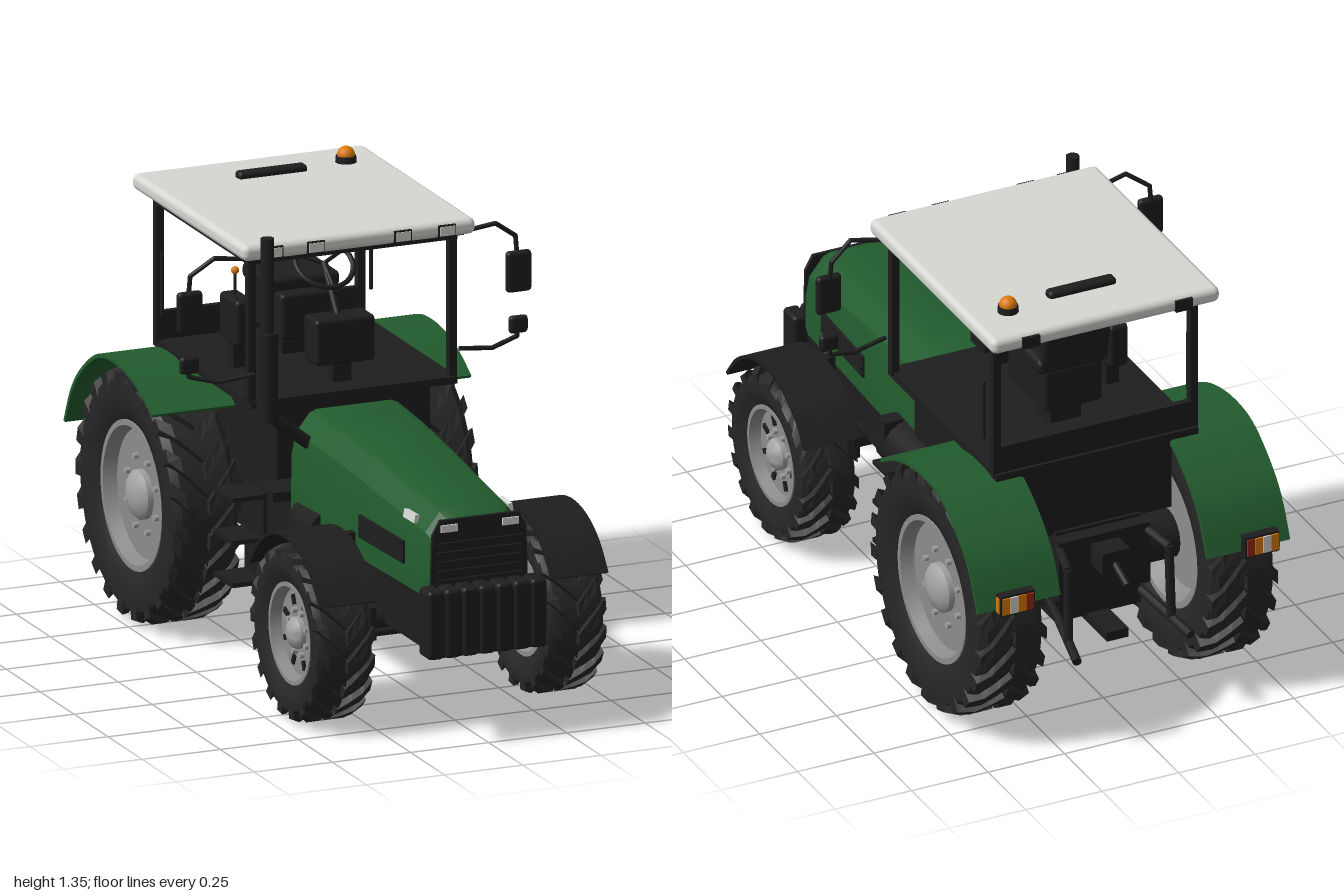
import * as THREE from 'three';
import { mergeGeometries, toCreasedNormals } from 'three/addons/utils/BufferGeometryUtils.js';
import { RoundedBoxGeometry } from 'three/addons/geometries/RoundedBoxGeometry.js';

const paint = (name, color) => Object.assign(new THREE.MeshStandardMaterial({ color }), { name });
const green = paint('green paint', 0x225c2e);
const black = paint('black trim', 0x1e1e1f);
const rubber = paint('tyre rubber', 0x262626);
const white = paint('roof white', 0xd6d6d2);
const grey = paint('rim grey', 0x8c8c8c);
const silver = paint('hub silver', 0xa2a2a2);
const orange = paint('orange lens', 0xdc7a08);
const red = paint('red lens', 0x9c2a14);
const V = (x, y, z) => new THREE.Vector3(x, y, z);

export function createModel() {
  const model = new THREE.Group();
  model.name = 'tractor';
  const add = (name, mat, geo, pos = [0, 0, 0], rot = [0, 0, 0], parent = model) => {
    const m = new THREE.Mesh(geo, mat);
    m.name = name;
    m.position.set(...pos);
    m.rotation.set(...rot);
    parent.add(m);
    return m;
  };
  const box = (name, mat, size, pos, rot) => add(name, mat, new THREE.BoxGeometry(...size), pos, rot);
  const soft = (name, mat, size, pos, rot, r = 0.012) => add(name, mat, new RoundedBoxGeometry(...size, 2, r), pos, rot);
  // Straight round bars through a list of points
  const rods = (name, r, pts, mat = black) => {
    for (let i = 1; i < pts.length; i++) {
      const a = V(...pts[i - 1]), b = V(...pts[i]);
      const m = add(name, mat, new THREE.CylinderGeometry(r, r, a.distanceTo(b) + r * 0.5, 10));
      m.position.copy(a).lerp(b, 0.5);
      m.quaternion.setFromUnitVectors(V(0, 1, 0), b.sub(a).normalize());
    }
  };
  // Curved sheet following [z, y] points, thickened towards a centre
  const sheet = (pts, centre, width, k) => {
    const outer = new THREE.SplineCurve(pts.map(p => new THREE.Vector2(...p))).getPoints(28);
    const c = new THREE.Vector2(...centre);
    const inner = outer.map(p => p.clone().sub(c).multiplyScalar(k).add(c)).reverse();
    const g = new THREE.ExtrudeGeometry(new THREE.Shape([...outer, ...inner]), { depth: width, bevelEnabled: false });
    return toCreasedNormals(g.translate(0, 0, -width / 2).rotateY(-Math.PI / 2), 0.6);
  };

  // Tyre lugs: boxes bent around the tyre, swept into a chevron
  const tread = (R, h, n) => {
    const parts = [];
    for (let k = 0; k < n; k++) for (const s of [1, -1]) {
      const g = new THREE.BoxGeometry(1, 1, 1, 3, 1, 1), p = g.attributes.position;
      for (let i = 0; i < p.count; i++) {
        const u = s * p.getX(i) + 0.5;
        const r = (p.getY(i) > 0 ? R : R - 0.045) - (u > 0.9 ? 0.014 : 0);
        const a = (k + (s > 0 ? 0 : 0.5) + p.getZ(i) * 0.42 - u * 1.1) / n * Math.PI * 2;
        p.setXYZ(i, s * u * h, r * Math.cos(a), r * Math.sin(a));
      }
      parts.push(g.toNonIndexed());
    }
    const all = mergeGeometries(parts);
    all.computeVertexNormals();
    return all;
  };
  const lathe = (pts, n = 40) => toCreasedNormals(
    new THREE.LatheGeometry(pts.map(p => new THREE.Vector2(...p)), n).rotateZ(-Math.PI / 2), 0.6);

  const wheel = (name, s, R, rim, h, x, z, lugs, hub, bolts) => {
    const w = new THREE.Group();
    w.name = name;
    w.position.set(s * x, R, z);
    model.add(w);
    const b = R - 0.022;
    add('tyre', rubber, lathe([[rim, -h * 0.75], [rim + 0.03, -h * 0.92], [b * 0.86, -h], [b * 0.95, -h * 0.95], [b, -h * 0.75],
      [b, h * 0.75], [b * 0.95, h * 0.95], [b * 0.86, h], [rim + 0.03, h * 0.92], [rim, h * 0.75], [rim, -h * 0.75]]), [0, 0, 0], [0, 0, 0], w);
    add('tyreTread', rubber, tread(R, h * 0.99, lugs), [0, 0, 0], [0, 0, 0], w);
    // Dished rim, hub and bolts face outwards
    const d = new THREE.Group();
    d.name = 'rimAssembly';
    d.rotation.y = s > 0 ? 0 : Math.PI;
    w.add(d);
    add('rim', grey, lathe([[0, -h * 0.3], [rim * 0.8, -h * 0.3], [rim * 0.93, -h * 0.8], [rim + 0.004, -h * 0.8],
      [rim + 0.004, h * 0.82], [rim * 0.94, h * 0.82], [rim * 0.88, h * 0.45], [0, h * 0.45]]), [0, 0, 0], [0, 0, 0], d);
    add('hub', silver, lathe([[hub, h * 0.4], [hub, h * 0.62], [hub * 0.8, h * 0.76], [hub * 0.4, h * 0.86], [0, h * 0.88]], 24), [0, 0, 0], [0, 0, 0], d);
    for (let i = 0; i < 8; i++) {
      const a = (i + 0.5) * Math.PI / 4, at = q => [h * 0.48, q * Math.cos(a), q * Math.sin(a)];
      add('wheelBolt', silver, new THREE.CylinderGeometry(0.009, 0.009, 0.022, 8).rotateZ(Math.PI / 2), at(bolts), [0, 0, 0], d);
      if (rim < 0.2) add('rimSlot', black, new THREE.BoxGeometry(0.008, 0.03, 0.016), at(rim * 0.66), [a, 0, 0], d);
    }
  };

  for (const s of [1, -1]) {
    wheel('frontWheel', s, 0.265, 0.15, 0.092, 0.37, 0.557, 18, 0.048, 0.068);
    wheel('rearWheel', s, 0.383, 0.222, 0.108, 0.378, -0.557, 22, 0.075, 0.115);
    // Mudguards
    const arc = [0, 1, 2, 3, 4, 5, 6].map(i => Math.PI * (30 + i * 20) / 180).map(a => [0.557 + 0.305 * Math.cos(a), 0.265 + 0.305 * Math.sin(a)]);
    add('frontFender', black, sheet(arc, [0.557, 0.265], 0.182, 0.965), [s * 0.37, 0, 0]);
    box('frontFenderBracket', black, [0.05, 0.25, 0.03], [s * 0.265, 0.43, 0.557]);
    add('rearFender', green, sheet([[-0.3, 0.705], [-0.42, 0.767], [-0.56, 0.796], [-0.7, 0.783], [-0.82, 0.71], [-0.9, 0.625], [-0.955, 0.51]],
      [-0.557, 0.385], 0.27, 0.972), [s * 0.375, 0, 0]);
    // Tail lamps
    box('tailLampHousing', black, [0.112, 0.066, 0.03], [s * 0.4, 0.54, -0.98]);
    [orange, white, orange, red].forEach((m, i) =>
      box('tailLampLens', m, [0.024, 0.054, 0.006], [s * (0.439 - i * 0.026), 0.54, -0.997]));
    box('tailLampSideLens', orange, [0.006, 0.05, 0.018], [s * 0.457, 0.54, -0.98]);
  }

  // Bonnet lofted from cross-sections
  const tops = [[0, 0.762], [0.2, 0.757], [0.45, 0.738], [0.7, 0.712], [0.88, 0.694], [0.925, 0.672]];
  const rings = tops.map(([z, t], i) => {
    const w = 0.198 - 0.036 * z / 0.92 - (i === 5 ? 0.012 : 0);
    const half = [[w, 0.44], [w, t - 0.13], [w - 0.012, t - 0.065], [w - 0.058, t - 0.008], [w - 0.08, t]];
    return [...half, ...half.map(([x, y]) => [-x, y]).reverse()].map(([x, y]) => [x, y, z]);
  });
  const n = rings[0].length, idx = [], last = (rings.length - 1) * n;
  for (let i = 0; i < rings.length - 1; i++) for (let j = 0; j < n; j++) {
    const a = i * n + j, b = i * n + (j + 1) % n;
    idx.push(a, b, b + n, a, b + n, a + n);
  }
  for (let j = 1; j < n - 1; j++) idx.push(last, last + j, last + j + 1, 0, j + 1, j);
  const hood = new THREE.BufferGeometry();
  hood.setAttribute('position', new THREE.Float32BufferAttribute(rings.flat(2), 3));
  hood.setIndex(idx);
  add('bonnet', green, toCreasedNormals(hood, 0.35));

  // Nose grille, headlights and side vents
  const nose = new THREE.Shape([[-0.155, 0.45], [0.155, 0.45], [0.15, 0.63], [0.125, 0.675], [-0.125, 0.675], [-0.15, 0.63]].map(p => new THREE.Vector2(...p)));
  add('grille', black, new THREE.ExtrudeGeometry(nose, { depth: 0.012, bevelEnabled: false }), [0, 0, 0.92]);
  for (let i = 0; i < 5; i++) box('grilleSlat', black, [0.27, 0.01, 0.012], [0, 0.49 + i * 0.028, 0.935]);
  for (const s of [1, -1]) {
    box('headlight', white, [0.052, 0.022, 0.008], [s * 0.098, 0.65, 0.934]);
    box('sideLight', white, [0.014, 0.026, 0.075], [s * 0.152, 0.652, 0.78], [0, -s * 0.04, s * 0.2]);
    box('sideVent', black, [0.012, 0.07, 0.3], [s * 0.174, 0.54, 0.62], [0, -s * 0.039, 0]);
    for (let i = 0; i < 4; i++) box('ventSlat', black, [0.014, 0.009, 0.29], [s * 0.177, 0.515 + i * 0.018, 0.62], [0, -s * 0.039, 0]);
  }

  // Front weights
  soft('weightBlock', black, [0.38, 0.2, 0.07], [0, 0.37, 0.955]);
  for (let i = 0; i < 7; i++) soft('frontWeight', black, [0.05, 0.21, 0.08], [(i - 3) * 0.055, 0.375, 0.958]);

  // Chassis, gearbox and axles
  box('engineFrame', black, [0.3, 0.18, 0.9], [0, 0.36, 0.46]);
  box('gearbox', black, [0.28, 0.3, 0.75], [0, 0.42, -0.34]);
  for (const [z, r, y] of [[0.545, 0.037, 0.272], [-0.557, 0.075, 0.383]])
    add('axle', black, new THREE.CylinderGeometry(r, r, 0.62, 16).rotateZ(Math.PI / 2), [0, y, z]);
  add('frontDifferential', black, new THREE.SphereGeometry(0.08, 16, 10).scale(1, 0.6, 1), [0, 0.245, 0.545]);
  for (const s of [1, -1]) {
    rods('steeringRod', 0.012, [[s * 0.08, 0.25, 0.6], [s * 0.28, 0.25, 0.6]]);
    box('axleFlange', black, [0.02, 0.1, 0.09], [s * 0.19, 0.272, 0.545]);
    // Side tanks and access steps
    add('sideTank', black, new THREE.CylinderGeometry(0.085, 0.085, s > 0 ? 0.22 : 0.16, 16).rotateX(Math.PI / 2), [s * (s > 0 ? 0.18 : 0.145), 0.43, 0.12]);
    box('stepBracket', black, [0.1, 0.03, 0.12], [s * 0.2, 0.5, -0.07]);
    box('stepPanel', black, [0.012, 0.28, 0.14], [s * 0.28, 0.38, -0.07]);
    for (const y of [0.25, 0.38, 0.51]) box('stepTread', black, [0.11, 0.014, 0.14], [s * 0.33, y, -0.07]);
  }
  box('valveBox', black, [0.06, 0.1, 0.05], [0.23, 0.47, 0.2]);

  // Cab base, floor and frame
  box('cabBase', black, [0.49, 0.23, 0.71], [0, 0.675, -0.35]);
  box('cabFloor', black, [0.66, 0.022, 0.72], [0, 0.798, -0.35]);
  box('rearPanel', black, [0.64, 0.09, 0.02], [0, 0.85, -0.69]);
  for (const s of [1, -1]) {
    for (const z of [-0.013, -0.687]) box('cabPillar', black, [0.024, 0.45, 0.026], [s * 0.322, 1.025, z]);
    box('roofRail', black, [0.026, 0.022, 0.7], [s * 0.322, 1.238, -0.35]);
    rods('grabHandle', 0.006, [[s * 0.334, 0.9, -0.635], [s * 0.334, 1.09, -0.635]]);
    // Mirrors on bent arms
    rods('mirrorArm', 0.007, [[s * 0.33, 1.245, 0], [s * 0.45, 1.265, 0.015], [s * 0.52, 1.215, 0], [s * 0.525, 1.16, 0]]);
    rods('mirrorArm', 0.007, [[s * 0.33, 0.9, 0.03], [s * 0.44, 0.885, 0.015], [s * 0.525, 0.907, 0], [s * 0.525, 0.93, 0]]);
    soft('mirror', black, [0.08, 0.126, 0.026], [s * 0.526, 1.108, 0.008]);
    soft('lowerMirror', black, [0.06, 0.054, 0.024], [s * 0.526, 0.945, 0.006]);
  }
  for (const z of [-0.013, -0.687]) box('roofCrossRail', black, [0.66, 0.022, 0.026], [0, 1.238, z]);

  // Roof, lamps, hatch and beacon
  soft('roof', white, [0.745, 0.05, 0.83], [0, 1.276, -0.36], [0, 0, 0], 0.02);
  box('roofLining', black, [0.69, 0.008, 0.77], [0, 1.249, -0.36]);
  for (const x of [-0.275, -0.142, 0.136, 0.277]) {
    box('workLamp', black, [0.056, 0.036, 0.02], [x, 1.274, 0.049]);
    box('workLampLens', white, [0.048, 0.028, 0.004], [x, 1.274, 0.06]);
  }
  for (const s of [1, -1]) box('rearWorkLamp', black, [0.056, 0.036, 0.02], [s * 0.25, 1.274, -0.772]);
  soft('roofHatchHandle', black, [0.22, 0.03, 0.04], [0, 1.306, -0.6]);
  add('beaconBase', black, new THREE.CylinderGeometry(0.03, 0.032, 0.022, 20), [0.25, 1.31, -0.625]);
  add('beacon', orange, new THREE.SphereGeometry(0.027, 20, 12), [0.25, 1.322, -0.625]);

  // Exhaust stack
  add('muffler', black, new THREE.CylinderGeometry(0.032, 0.032, 0.27, 20), [-0.308, 0.905, 0.08]);
  add('exhaustPipe', black, new THREE.CylinderGeometry(0.02, 0.02, 0.29, 16), [-0.308, 1.183, 0.08]);
  rods('exhaustElbow', 0.02, [[-0.308, 0.79, 0.08], [-0.17, 0.68, 0.08]]);

  // Seat, dashboard and controls
  soft('seatBase', black, [0.19, 0.14, 0.25], [0, 0.95, -0.43]);
  box('seatPedestal', black, [0.1, 0.09, 0.1], [0, 0.85, -0.45]);
  soft('seatCushion', black, [0.23, 0.05, 0.21], [0, 1.035, -0.455], [0, 0, 0], 0.018);
  soft('seatBack', black, [0.22, 0.21, 0.04], [0, 1.15, -0.57], [-0.2, 0, 0], 0.018);
  soft('dashboard', black, [0.19, 0.14, 0.095], [0, 0.94, -0.098]);
  box('dashPedestal', black, [0.06, 0.08, 0.04], [0, 0.84, -0.098]);
  rods('steeringColumn', 0.011, [[0, 1.0, -0.11], [0, 1.135, -0.21]]);
  add('steeringWheel', black, new THREE.TorusGeometry(0.088, 0.008, 8, 32), [0, 1.135, -0.21], [-0.9, 0, 0]);
  for (const a of [0.5, 2.64, 4.71])
    rods('wheelSpoke', 0.006, [[0, 1.135, -0.21], [0.086 * Math.cos(a), 1.135 + 0.053 * Math.sin(a), -0.21 + -0.067 * Math.sin(a)]]);
  soft('controlConsole', black, [0.06, 0.14, 0.13], [-0.22, 0.955, -0.345]);
  box('consoleStand', black, [0.04, 0.08, 0.04], [-0.22, 0.85, -0.345]);
  rods('controlLever', 0.005, [[-0.22, 1.02, -0.36], [-0.22, 1.09, -0.36]]);
  add('leverKnob', orange, new THREE.SphereGeometry(0.012, 12, 8), [-0.22, 1.098, -0.36]);

  // Rear linkage
  box('linkageHousing', black, [0.3, 0.2, 0.08], [0, 0.46, -0.72]);
  box('topLinkBracket', black, [0.09, 0.07, 0.09], [0, 0.5, -0.79]);
  rods('topLink', 0.012, [[0, 0.5, -0.8], [0, 0.46, -0.91]]);
  box('drawbar', black, [0.07, 0.03, 0.25], [0, 0.26, -0.72]);
  for (const s of [1, -1]) {
    rods('lowerLink', 0.014, [[s * 0.12, 0.33, -0.6], [s * 0.185, 0.27, -0.95]]);
    rods('liftArm', 0.014, [[s * 0.13, 0.54, -0.7], [s * 0.165, 0.52, -0.85], [s * 0.168, 0.29, -0.86]]);
  }
  return model;
}
